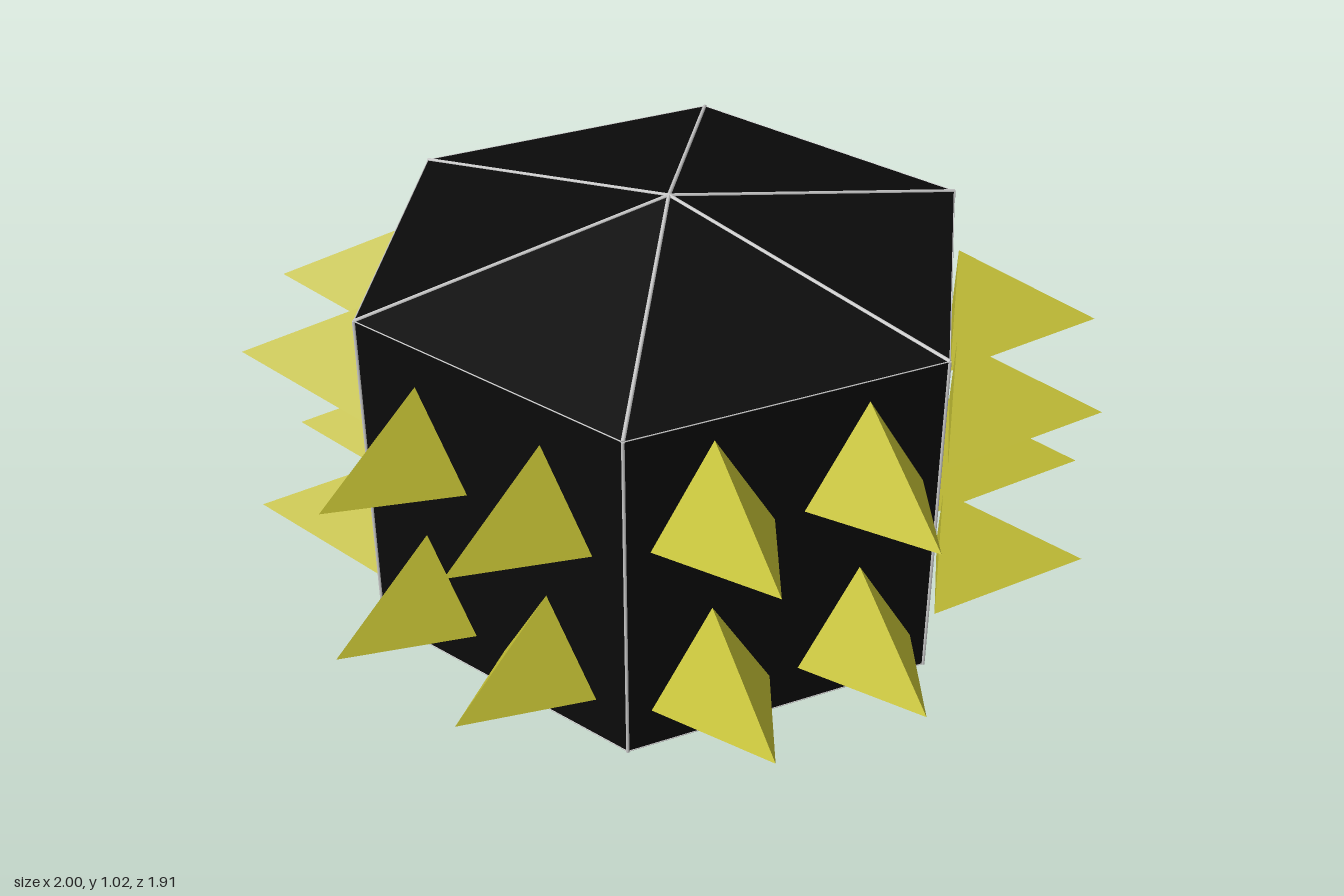
import * as THREE from 'three';

const R = 0.753, WALL = 0.86, APEX = 1.012, CX = -0.008;
const black = new THREE.MeshStandardMaterial({ color: 0x0a0a0a, flatShading: true });
const yellow = new THREE.MeshStandardMaterial({ color: 0xc6c235, flatShading: true });
const grey = new THREE.MeshStandardMaterial({ color: 0xcccccc });

function addMesh(parent, name, geometry, material) {
  const mesh = new THREE.Mesh(geometry, material);
  mesh.name = name;
  parent.add(mesh);
  return mesh;
}

// Thin rod joining two points
function addRod(parent, name, a, b, radius) {
  const dir = b.clone().sub(a);
  const rod = addMesh(parent, name, new THREE.CylinderGeometry(radius, radius, dir.length(), 6), grey);
  rod.position.copy(a).add(b).multiplyScalar(0.5);
  rod.quaternion.setFromUnitVectors(new THREE.Vector3(0, 1, 0), dir.normalize());
}

// Three-sided spike: base on z = 0, tip along +z, one base corner up
function spikeGeometry(radius, height) {
  return new THREE.ConeGeometry(radius, height, 3, 1, false, Math.PI)
    .rotateX(Math.PI / 2)
    .translate(0, 0, height / 2);
}

export function createModel() {
  const model = new THREE.Group();
  model.name = 'spikedHexagonalBox';

  // Six-sided body and low pointed roof
  const body = new THREE.Group();
  body.name = 'body';
  body.position.x = CX;
  model.add(body);
  addMesh(body, 'walls', new THREE.CylinderGeometry(R, R, WALL, 6), black).position.y = WALL / 2;
  addMesh(body, 'roof', new THREE.ConeGeometry(R, APEX - WALL, 6, 1, true), black).position.y = (WALL + APEX) / 2;

  // Fine pale seams along every edge
  const corner = (i, y) => {
    const a = (i * Math.PI) / 3;
    return new THREE.Vector3(Math.sin(a) * R, y, Math.cos(a) * R);
  };
  const apex = new THREE.Vector3(0, APEX, 0);
  for (let i = 0; i < 6; i++) {
    addRod(body, 'cornerSeam', corner(i, 0), corner(i, WALL), 0.004);
    addRod(body, 'roofSeam', corner(i, WALL), apex, 0.005);
    addRod(body, 'eaveSeam', corner(i, WALL), corner(i + 1, WALL), 0.0015);
    addRod(body, 'baseSeam', corner(i, 0.0015), corner(i + 1, 0.0015), 0.0015);
  }

  // Two rows of two spikes per wall, with slightly uneven placing
  const walls = [
    { angle: 30, along: [-0.185, 0.175], rows: [0.2, 0.65], base: 0.66, tip: 0.993 },
    { angle: 90, along: [-0.185, 0.21], rows: [0.2, 0.625], base: 0.662, tip: 1 },
    { angle: 150, along: [0.187, -0.175], rows: [0.2, 0.64], base: 0.66, tip: 0.995 },
    { angle: 210, along: [-0.179, 0.191], rows: [0.19, 0.63], base: 0.665, tip: 1 },
    { angle: 270, along: [-0.175, 0.18], rows: [0.17, 0.623], base: 0.662, tip: 1 },
    { angle: 330, along: [0.155, -0.2], rows: [0.2, 0.61], base: 0.667, tip: 0.98, radius: 0.156 },
  ];
  for (const { angle, along, rows, base, tip, radius = 0.167 } of walls) {
    const side = new THREE.Group();
    side.name = 'wallSpikes';
    side.rotation.y = THREE.MathUtils.degToRad(angle);
    model.add(side);
    const geometry = spikeGeometry(radius, tip - base);
    for (const y of rows) {
      for (const x of along) addMesh(side, 'spike', geometry, yellow).position.set(x, y, base);
    }
  }
  return model;
}
